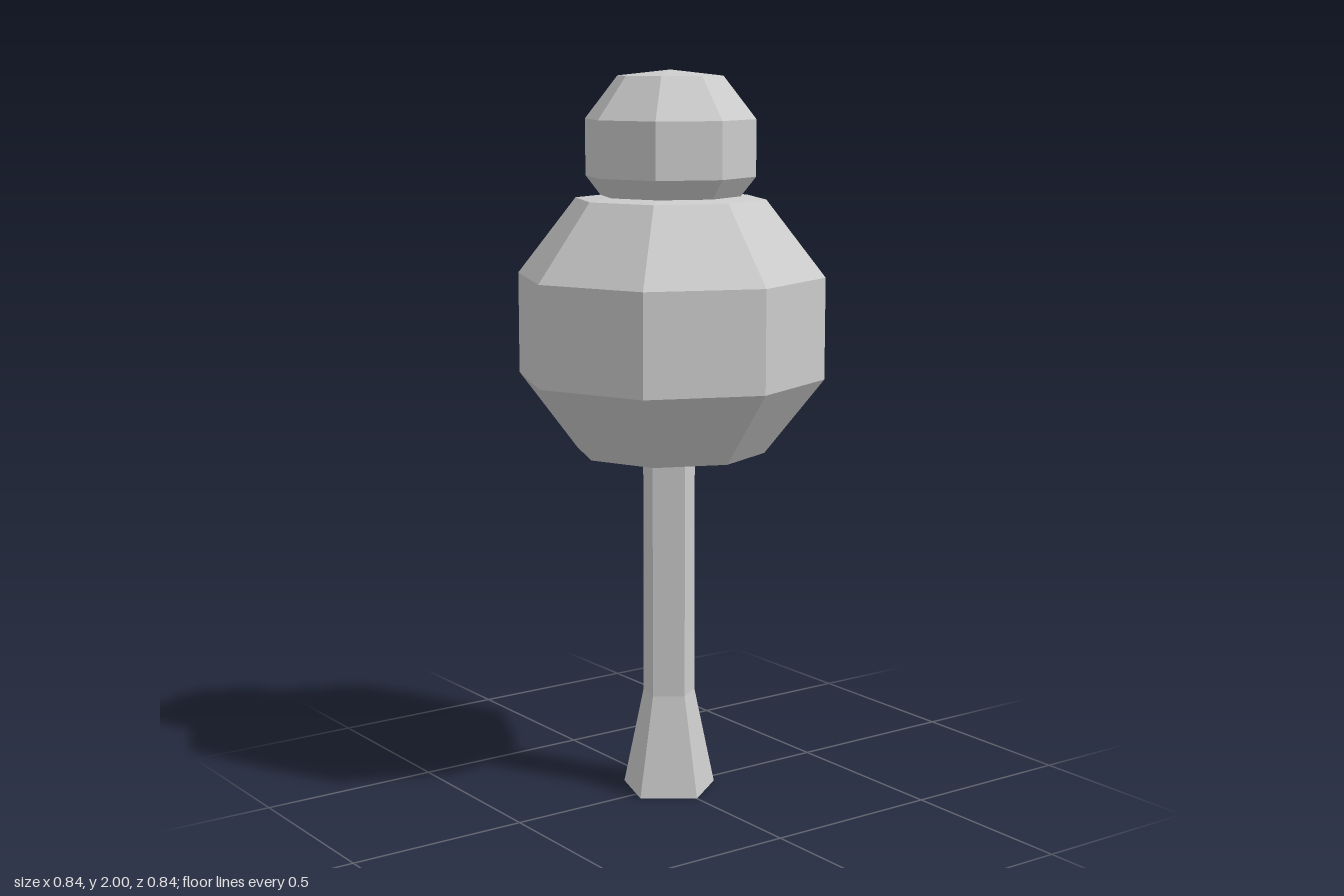
import * as THREE from 'three';

const material = new THREE.MeshStandardMaterial({ color: 0xcccccc, flatShading: true });

// Faceted solid of revolution; profile is [radius, height] from bottom to top
function turned(name, profile, sides, start = 0) {
  const points = profile.map(([r, y]) => new THREE.Vector2(r, y));
  const mesh = new THREE.Mesh(new THREE.LatheGeometry(points, sides, start), material);
  mesh.name = name;
  return mesh;
}

// Eight-sided foliage ball with flattened poles
function foliage(name, radius, centerY) {
  const rings = [[0, -0.885], [0.617, -0.817], [1, -0.327], [1, 0.327], [0.617, 0.817], [0, 0.885]];
  const mesh = turned(name, rings.map(([r, y]) => [r * radius, y * radius]), 8);
  mesh.position.y = centerY;
  return mesh;
}

export function createModel() {
  const tree = new THREE.Group();
  tree.name = 'tree';

  // Five-sided trunk with a flared foot, one edge facing +x
  const trunk = turned('trunk', [[0, 0], [0.134, 0], [0.075, 0.28], [0.075, 1.0], [0, 1.0]], 5, Math.PI / 2);
  trunk.position.x = -0.006;
  tree.add(trunk);

  // Large lower crown and small upper crown
  tree.add(foliage('lowerCrown', 0.422, 1.313));
  tree.add(foliage('upperCrown', 0.2325, 1.794));

  return tree;
}
